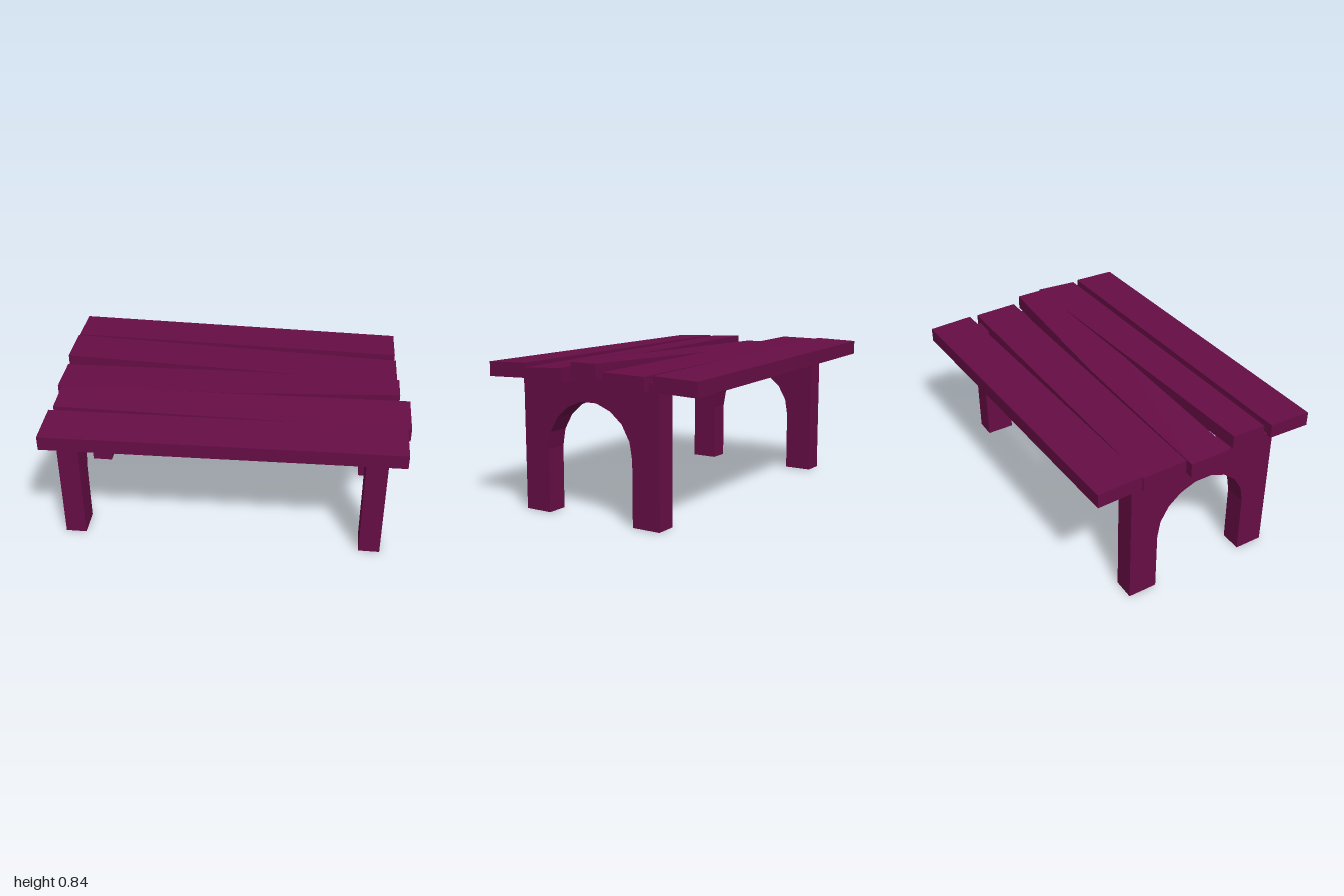
import * as THREE from 'three';

const material = new THREE.MeshStandardMaterial({ color: 0x660d45, flatShading: true });
const THICKNESS = 0.08;

// Hewn plank lofted through sections: [x, zBack, zFront, yTopBack, yTopFront]
function plankGeometry(sections) {
  const positions = [];
  const index = [];
  for (const [x, zb, zf, yb, yf] of sections) {
    positions.push(x, yb, zb, x, yf, zf, x, yf - THICKNESS, zf, x, yb - THICKNESS, zb);
  }
  for (let s = 0; s < sections.length - 1; s++) {
    for (let i = 0; i < 4; i++) {
      const j = (i + 1) % 4;
      const a = s * 4, b = a + 4;
      index.push(a + i, a + j, b + j, a + i, b + j, b + i);
    }
  }
  const e = (sections.length - 1) * 4;
  index.push(0, 2, 1, 0, 3, 2, e, e + 1, e + 2, e, e + 2, e + 3);
  const indexed = new THREE.BufferGeometry();
  indexed.setAttribute('position', new THREE.Float32BufferAttribute(positions, 3));
  indexed.setIndex(index);
  const geometry = indexed.toNonIndexed();
  geometry.computeVertexNormals();
  return geometry;
}

// Arched trestle outline, drawn with z running right to left
function trestleGeometry(width) {
  const outline = [
    [0.455, 0], [0.295, 0], [0.293, 0.35], [0.276, 0.445], [0.226, 0.53], [0.155, 0.59], [0.066, 0.625],
    [-0.034, 0.625], [-0.124, 0.59], [-0.196, 0.53], [-0.244, 0.445], [-0.26, 0.35], [-0.26, 0],
    [-0.425, 0], [-0.425, 0.757], [0.455, 0.757],
  ];
  const shape = new THREE.Shape(outline.map(([z, y]) => new THREE.Vector2(-z, y)));
  return new THREE.ExtrudeGeometry(shape, { depth: width, bevelEnabled: false }).rotateY(Math.PI / 2);
}

export function createModel() {
  const table = new THREE.Group();
  table.name = 'plankTable';

  const add = (geometry, name) => {
    const mesh = new THREE.Mesh(geometry, material);
    mesh.name = name;
    table.add(mesh);
    return mesh;
  };

  // Uneven table top, front to back
  const planks = {
    frontPlank: [[-0.972, 0.42, 0.668, 0.825, 0.815], [0.968, 0.376, 0.626, 0.817, 0.81]],
    frontMiddlePlank: [[-0.955, 0.185, 0.385, 0.835, 0.825], [0.992, 0.105, 0.358, 0.81, 0.795]],
    centrePlank: [
      [-0.997, -0.105, 0.133, 0.8, 0.8],
      [0, -0.107, 0.132, 0.816, 0.816],
      [0.935, -0.072, 0.09, 0.836, 0.836],
    ],
    backMiddlePlank: [[-0.998, -0.393, -0.14, 0.837, 0.84], [0.93, -0.367, -0.113, 0.79, 0.795]],
    backPlank: [[-0.99, -0.645, -0.393, 0.835, 0.843], [0.925, -0.675, -0.42, 0.787, 0.797]],
  };
  for (const [name, sections] of Object.entries(planks)) add(plankGeometry(sections), name);

  // Arched legs at both ends
  add(trestleGeometry(0.12), 'rightLegs').position.x = -0.945;
  add(trestleGeometry(0.12), 'leftLegs').position.x = 0.765;

  return table;
}
